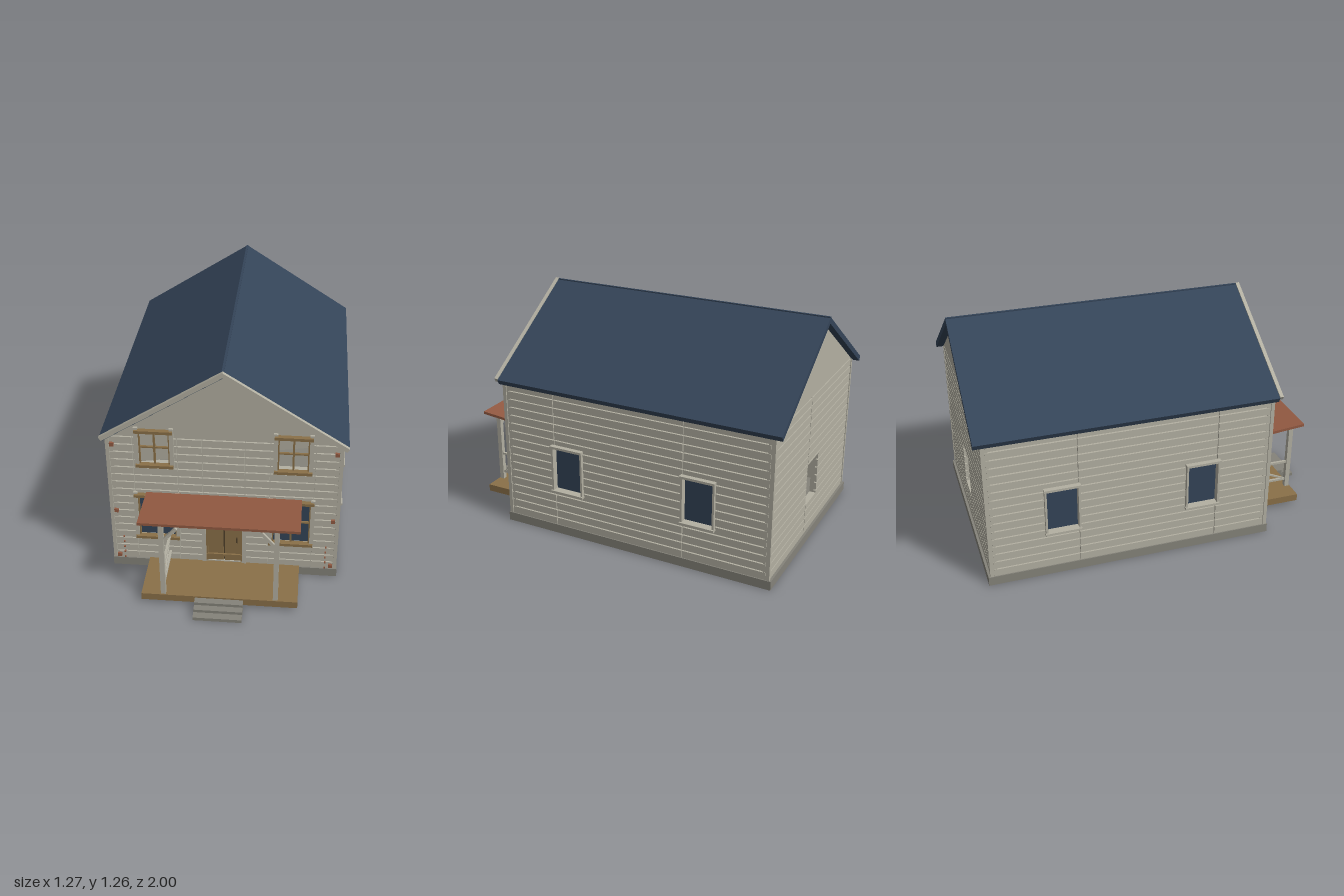
import * as THREE from 'three';
import { mergeGeometries } from 'three/addons/utils/BufferGeometryUtils.js';

const mat = (name, color) => new THREE.MeshStandardMaterial({ name, color });

export function createModel() {
  const house = new THREE.Group();
  house.name = 'house';
  const siding = mat('weathered siding', 0xb3b0a2);
  const stone = mat('foundation grey', 0x85837a);
  const timber = mat('brown timber', 0x8a7048);
  const navy = mat('navy roofing', 0x344458);
  const rust = mat('rust red', 0x935a42);
  const dark = mat('dark handle', 0x4f402a);

  const add = (parent, name, geo, material) => {
    const m = new THREE.Mesh(geo, material);
    m.name = name;
    parent.add(m);
    return m;
  };
  // Box given by its min and max corners
  const boxGeo = (x0, x1, y0, y1, z0, z1) =>
    new THREE.BoxGeometry(x1 - x0, y1 - y0, z1 - z0)
      .translate((x0 + x1) / 2, (y0 + y1) / 2, (z0 + z1) / 2);
  const box = (parent, name, material, ...b) => add(parent, name, boxGeo(...b), material);
  const polygon = (pts) => new THREE.Shape(pts.map(([x, y]) => new THREE.Vector2(x, y)));
  const extrude = (shape, z0, z1) =>
    new THREE.ExtrudeGeometry(shape, { depth: z1 - z0, bevelEnabled: false }).translate(0, 0, z0);
  // Bar running between two points
  const bar = (parent, name, material, a, b, t) => {
    const p = new THREE.Vector3(...a), q = new THREE.Vector3(...b);
    const m = add(parent, name, new THREE.BoxGeometry(t, t, p.distanceTo(q)), material);
    m.position.copy(p).add(q).multiplyScalar(0.5);
    m.lookAt(q);
    return m;
  };

  const BASE = 0.05, ROWS = 17;
  // Wall with openings [x0, x1, y0, y1]; its outer face lies on local z = 0
  const wall = (name, half, top, holes, joints) => {
    const g = new THREE.Group();
    g.name = name;
    house.add(g);
    const shape = polygon([[-half, BASE], [half, BASE], [half, top], [-half, top]]);
    for (const [a, b, c, d] of holes) shape.holes.push(polygon([[a, c], [a, d], [b, d], [b, c]]));
    add(g, name + 'Backing', extrude(shape, -0.035, -0.012), siding);
    const planks = [], pitch = (top - BASE) / ROWS, inner = half - 0.015;
    for (let r = 0; r < ROWS; r++) {
      const lo = BASE + r * pitch, hi = lo + pitch - 0.007;
      const ys = [lo, hi];
      holes.forEach((h) => ys.push(...h.slice(2).filter((y) => y > lo && y < hi)));
      ys.sort((a, b) => a - b);
      for (let i = 0; i + 1 < ys.length; i++) {
        if (ys[i + 1] - ys[i] < 1e-4) continue;
        const mid = (ys[i] + ys[i + 1]) / 2;
        const gaps = holes.filter((h) => mid > h[2] && mid < h[3]).map((h) => [h[0], h[1]])
          .concat(joints.map((j) => [j - 0.002, j + 0.002]), [[inner, inner]])
          .sort((a, b) => a[0] - b[0]);
        let x = -inner;
        for (const [a, b] of gaps) {
          if (a - x > 0.001) planks.push(boxGeo(x, a, ys[i], ys[i + 1], -0.012, 0));
          x = Math.max(x, b);
        }
      }
    }
    add(g, name + 'Planks', mergeGeometries(planks), siding);
    return g;
  };

  // Foundation, floor slab and ceiling
  box(house, 'foundation', stone, -0.614, 0.614, 0, BASE, -0.973, 0.598);
  box(house, 'ceiling', siding, -0.59, 0.59, 0.835, 0.845, -0.94, 0.57);

  // Four walls
  const WX = 0.357;
  const frontHoles = [[-0.1, 0.1, 0.06, 0.475]];
  for (const s of [-1, 1]) {
    frontHoles.push([s * WX - 0.083, s * WX + 0.083, 0.688, 0.88]);
    frontHoles.push([s * WX - 0.1, s * WX + 0.1, 0.215, 0.485]);
  }
  const front = wall('frontWall', 0.605, 0.85, frontHoles, [-0.47, -0.24, -0.11, 0.11, 0.24, 0.47]);
  front.position.z = 0.59;
  const back = wall('backWall', 0.605, 0.85, [[-0.085, 0.085, 0.22, 0.46]], [-0.085]);
  back.position.z = -0.96;
  back.rotation.y = Math.PI;
  for (const s of [-1, 1]) {
    const holes = [-0.383, 0.383].map((u) => [u - 0.083, u + 0.083, 0.268, 0.517]);
    const side = wall(s > 0 ? 'leftWall' : 'rightWall', 0.77, 0.84, holes, [-0.465 * s, 0.295 * s]);
    side.position.set(s * 0.608, 0, -0.185);
    side.rotation.y = s * Math.PI / 2;
    // Side windows: glass, casing and projecting head and sill
    for (const [a, b, c, d] of holes) {
      box(side, 'sideGlass', navy, a, b, c, d, -0.025, -0.018);
      box(side, 'sideCasing', siding, a - 0.011, a, c, d, -0.012, 0.018);
      box(side, 'sideCasing', siding, b, b + 0.011, c, d, -0.012, 0.018);
      box(side, 'sideHead', siding, a - 0.014, b + 0.014, d, d + 0.013, -0.012, 0.027);
      box(side, 'sideSill', siding, a - 0.014, b + 0.014, c - 0.013, c, -0.012, 0.027);
    }
    // Corner posts
    for (const z of [0.573, -0.963])
      box(house, 'cornerPost', siding, s > 0 ? 0.592 : -0.611, s > 0 ? 0.611 : -0.592, BASE, 0.84, z, z + 0.02);
  }

  // Gables
  for (const [name, z] of [['frontGable', 0.557], ['backGable', -0.96]])
    add(house, name, extrude(polygon([[-0.59, 0.85], [0.59, 0.85], [0, 1.228]]), z, z + 0.033), siding);

  // Roof and front barge boards share one chevron section
  const chevron = (apex, t) => {
    const e = 0.635, k = 0.638, eave = apex - e * k, cut = 0.012;
    return polygon([[0, apex], [-e, eave], [-e + cut, eave - t + cut * k],
      [0, apex - t], [e - cut, eave - t + cut * k], [e, eave]]);
  };
  add(house, 'roof', extrude(chevron(1.256, 0.034), -1, 0.608), navy);
  add(house, 'bargeBoards', extrude(chevron(1.262, 0.028), 0.608, 0.628), siding);
  bar(house, 'ridgeCap', navy, [0, 1.252, -1], [0, 1.252, 0.608], 0.012);

  // Front windows: posts, rails and glazing bars
  const frontWindow = (cx, half, y0, y1, rail, glazed) => {
    const g = new THREE.Group();
    g.name = glazed ? 'lowerWindow' : 'upperWindow';
    g.position.set(cx, 0, 0.59);
    house.add(g);
    for (const s of [-1, 1]) {
      const x = s * (half - 0.011);
      box(g, 'windowPost', siding, x - 0.011, x + 0.011, y0, y1, -0.005, 0.014);
      const i = s * (half - 0.025);
      box(g, 'sash', timber, i - 0.004, i + 0.004, y0 + rail, y1 - rail, -0.012, 0.006);
    }
    for (const y of [y0 + rail - 0.003, y1 - rail + 0.003])
      box(g, 'windowRail', timber, -half + 0.004, half - 0.004, y - 0.008, y + 0.008, -0.005, 0.026);
    const mid = (y0 + y1) / 2;
    box(g, 'mullion', timber, -0.005, 0.005, y0 + rail, y1 - rail, -0.012, 0.002);
    box(g, 'transom', timber, -half + 0.02, half - 0.02, mid - 0.004, mid + 0.004, -0.012, 0.001);
    if (glazed) box(g, 'glass', navy, -0.1, 0.1, y0 + 0.015, y1 - 0.015, -0.024, -0.016);
  };
  for (const s of [-1, 1]) {
    frontWindow(s * WX, 0.102, 0.663, 0.91, 0.022, false);
    frontWindow(s * WX, 0.122, 0.196, 0.505, 0.021, true);
  }

  // Door with boards, battens, casing and handle
  const door = new THREE.Group();
  door.name = 'door';
  door.position.z = 0.59;
  house.add(door);
  for (const s of [-1, 1]) {
    box(door, 'doorLeaf', timber, s > 0 ? 0.004 : -0.1, s > 0 ? 0.1 : -0.004, 0.06, 0.475, -0.022, -0.006);
    box(door, 'doorCasing', siding, s > 0 ? 0.098 : -0.119, s > 0 ? 0.119 : -0.098, 0.055, 0.468, -0.005, 0.014);
    box(door, 'doorStile', timber, s > 0 ? 0.088 : -0.098, s > 0 ? 0.098 : -0.088, 0.06, 0.47, -0.008, 0.002);
  }
  box(door, 'doorGroove', dark, -0.004, 0.004, 0.06, 0.475, -0.022, -0.014);
  for (const y of [0.1, 0.405, 0.462]) box(door, 'doorBatten', timber, -0.098, 0.098, y - 0.007, y + 0.007, -0.008, 0.004);
  box(door, 'doorLintel', timber, -0.118, 0.118, 0.468, 0.486, -0.005, 0.026);
  box(door, 'doorHandle', dark, 0.065, 0.073, 0.19, 0.222, -0.008, 0.004);

  // Rusty brackets and nails near the front corners
  for (const s of [-1, 1]) {
    for (const y of [0.07, 0.375, 0.8])
      box(house, 'bracket', rust, s * 0.577 - 0.011, s * 0.577 + 0.011, y - 0.01, y + 0.01, 0.58, 0.603);
    for (let i = 0; i < 5; i++)
      box(house, 'nail', rust, s * 0.547 - 0.004, s * 0.547 + 0.004, 0.051 + i * 0.035, 0.059 + i * 0.035, 0.585, 0.597);
  }

  // Porch deck and steps
  box(house, 'porchDeck', timber, -0.41, 0.41, 0.02, 0.06, 0.597, 0.887);
  [1, 0.96, 0.924].forEach((z, i) =>
    box(house, 'step', stone, -0.127, 0.127, i * 0.0165, (i + 1) * 0.0165 + 0.002, 0.88, z));

  // Porch roof, rising slightly outward
  const slab = polygon([[0.595, 0.49], [0.89, 0.516], [0.89, 0.531], [0.595, 0.505]]);
  const porchRoof = add(house, 'porchRoof', extrude(slab, -0.41, 0.41), rust);
  porchRoof.rotation.y = -Math.PI / 2;
  porchRoof.geometry.scale(1, 1, 1);

  // Porch posts, braces and railings
  for (const s of [-1, 1]) {
    const x = s * 0.294;
    box(house, 'porchPost', siding, x - 0.013, x + 0.013, 0.06, 0.517, 0.855, 0.881);
    bar(house, 'porchBrace', siding, [x, 0.4, 0.868], [s * 0.215, 0.492, 0.868], 0.016);
    for (const y of [0.225, 0.107]) box(house, 'railing', siding, x - 0.007, x + 0.007, y - 0.006, y + 0.006, 0.59, 0.86);
    bar(house, 'railingBrace', siding, [x, 0.107, 0.855], [x, 0.222, 0.6], 0.01);
  }
  return house;
}
